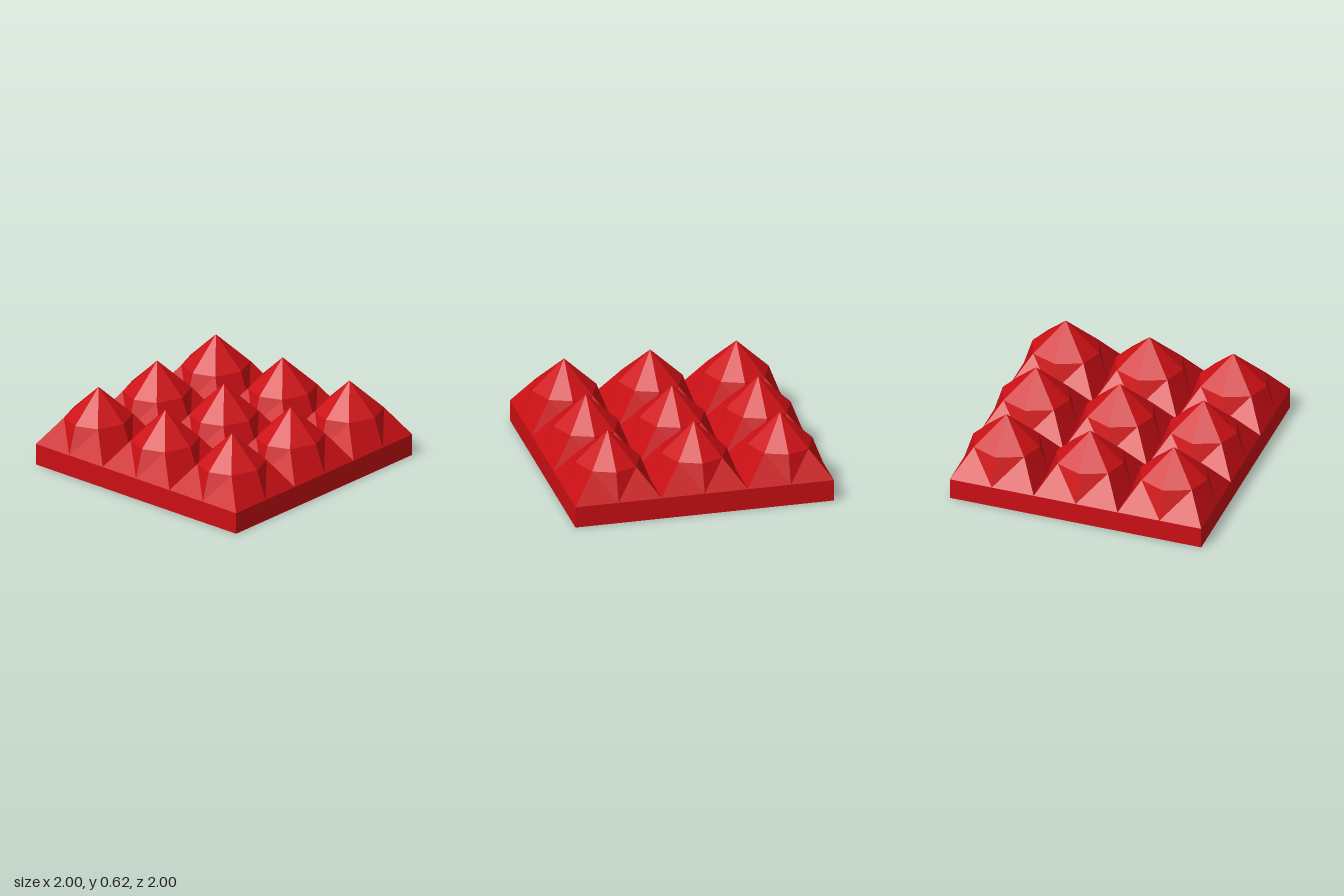
import * as THREE from 'three';

const CELL = 2 / 3, BASE_H = 0.167, RING_Y = 0.385, APEX_Y = 0.62;

// Faceted stud: square foot, eight-point shoulder ring, pointed top
function studGeometry() {
  const h = CELL / 2;
  const apex = [0, APEX_Y, 0];
  const ring = [], foot = [];
  for (let i = 0; i < 8; i++) {
    const a = (i * Math.PI) / 4, c = Math.cos(a), s = Math.sin(a);
    const diagonal = i % 2 === 1;
    ring.push(diagonal
      ? [Math.sign(c) * 0.17, RING_Y, Math.sign(s) * 0.2]
      : [c * 0.25, RING_Y, s * 0.265]);
    const k = diagonal ? h * Math.SQRT2 : h; // corners and edge midpoints
    foot.push([c * k, BASE_H, s * k]);
  }
  const pos = [];
  const tri = (a, b, c) => pos.push(...a, ...b, ...c);
  for (let i = 0; i < 8; i++) {
    const j = (i + 1) % 8;
    tri(apex, ring[j], ring[i]);
    // Flanks are split from each edge midpoint to the diagonal ring point
    if (i % 2 === 0) {
      tri(ring[i], ring[j], foot[i]);
      tri(ring[j], foot[j], foot[i]);
    } else {
      tri(ring[i], ring[j], foot[j]);
      tri(ring[i], foot[j], foot[i]);
    }
  }
  const geo = new THREE.BufferGeometry();
  geo.setAttribute('position', new THREE.Float32BufferAttribute(pos, 3));
  geo.computeVertexNormals();
  return geo;
}

export function createModel() {
  const model = new THREE.Group();
  model.name = 'studdedTile';
  const red = new THREE.MeshStandardMaterial({ color: 0xcc0f14, flatShading: true });

  // Square slab
  const base = new THREE.Mesh(new THREE.BoxGeometry(2, BASE_H, 2), red);
  base.name = 'base';
  base.position.y = BASE_H / 2;
  model.add(base);

  // Three by three grid of studs
  const studs = new THREE.Group();
  studs.name = 'studs';
  const geo = studGeometry();
  for (let row = -1; row <= 1; row++) {
    for (let col = -1; col <= 1; col++) {
      const stud = new THREE.Mesh(geo, red);
      stud.name = 'stud';
      stud.position.set(col * CELL, 0, row * CELL);
      studs.add(stud);
    }
  }
  model.add(studs);
  return model;
}
